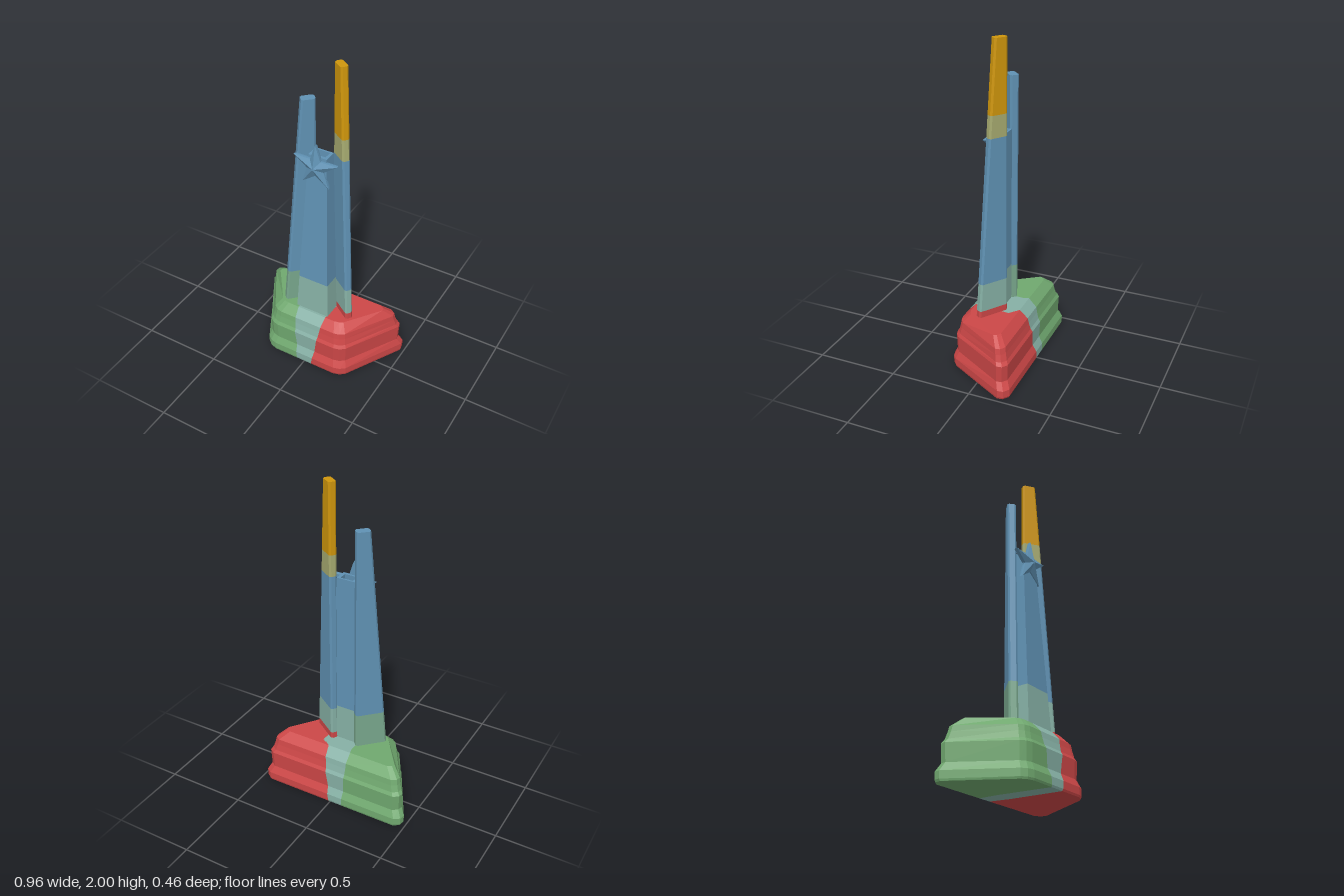
import * as THREE from 'three';

const COLORS = {
  red: 0xcc4747, green: 0x70a86f, teal: 0x86b0a5, moss: 0x78a68c,
  blue: 0x6092b4, olive: 0xa6aa70, gold: 0xcf960c,
};
const materials = {};
function material(name) {
  materials[name] ??= new THREE.MeshStandardMaterial({ color: COLORS[name], flatShading: true });
  return materials[name];
}

// Skin a stack of rings ([x, y, z] points, counter-clockwise seen from the end),
// optionally only along some edges, with optional start and end caps.
function loft(rings, { edges = rings[0].map((_, i) => i), capStart = false, capEnd = false } = {}) {
  const n = rings[0].length, pos = [];
  const tri = (a, b, c) => pos.push(...a, ...b, ...c);
  for (let k = 0; k < rings.length - 1; k++) {
    for (const i of edges) {
      const j = (i + 1) % n, lo = rings[k], hi = rings[k + 1];
      tri(lo[i], lo[j], hi[j]);
      tri(lo[i], hi[j], hi[i]);
    }
  }
  const cap = (ring, flip) => {
    const mid = [0, 1, 2].map(a => ring.reduce((s, p) => s + p[a], 0) / n);
    ring.forEach((p, i) => {
      const q = ring[(i + 1) % n];
      flip ? tri(mid, q, p) : tri(mid, p, q);
    });
  };
  if (capStart) cap(rings[0], true);
  if (capEnd) cap(rings.at(-1), false);
  const geo = new THREE.BufferGeometry();
  geo.setAttribute('position', new THREE.Float32BufferAttribute(pos, 3));
  geo.computeVertexNormals();
  return geo;
}

function add(group, name, color, geo) {
  const mesh = new THREE.Mesh(geo, material(color));
  mesh.name = name;
  group.add(mesh);
}

// Stepped trapezoid plinth, divided into three coloured sections
function makePlinth() {
  const group = new THREE.Group();
  group.name = 'plinth';
  // height and inset of each step
  const steps = [[0, 0.004], [0.012, 0], [0.055, 0], [0.1, 0.022], [0.205, 0.018],
    [0.225, 0.03], [0.265, 0.04], [0.3, 0.046], [0.35, 0.095]];
  const corner = [[0.21, 0.226], [0.25, 0.215], [0.28, 0.19],
    [0.48, -0.17], [0.474, -0.205], [0.44, -0.23]];
  const levels = steps.map(([y, d]) => {
    const t = y / 0.35, sx = 1 - d / 0.42, sz = 1 - d / 0.23;
    const front = 0.226 * sz, back = -0.23 * sz;
    const side = s => corner.map(([x, z]) => [s * x * sx, y, z * sz]);
    // seams between the colours, as front, middle and back points
    const seamR = [[0.05 + 0.05 * t, y, front], [0.03 + 0.09 * t, y, -0.1], [0.01 + 0.05 * t, y, back]];
    const seamL = [[-0.05 - 0.04 * t, y, front], [-0.08, y, -0.1], [-0.08 - 0.01 * t, y, back]];
    return {
      left: [seamR[0], ...side(1), seamR[2], seamR[1]],
      right: [seamL[2], ...side(-1).reverse(), seamL[0], seamL[1]],
      middle: [seamL[0], seamR[0], seamR[1], seamR[2], seamL[2], seamL[1]],
    };
  });
  const outer = [0, 1, 2, 3, 4, 5, 6];
  for (const [key, color, edges] of [['left', 'red', outer], ['right', 'green', outer], ['middle', 'teal', [0, 3]]]) {
    add(group, key + 'PlinthSection', color,
      loft(levels.map(l => l[key]), { edges, capStart: true, capEnd: true }));
  }
  return group;
}

// Upright slab with a vertical inner edge and a sloping outer edge
function makeFin(name, origin, angle, thick, bottomLength, topLength, bands) {
  const group = new THREE.Group();
  group.name = name;
  const base = bands[0][0], top = bands.at(-1)[1];
  const c = Math.cos(angle), s = Math.sin(angle), h = thick / 2, b = 0.01;
  const ring = y => {
    const L = THREE.MathUtils.mapLinear(y, base, top, bottomLength, topLength);
    return [[0, h - b], [b, h], [L - b, h], [L, h - b], [L, b - h], [L - b, -h], [b, -h], [0, b - h]]
      .map(([u, v]) => [origin[0] + u * c - v * s, y, origin[1] + u * s + v * c]);
  };
  bands.forEach(([y0, y1, color], i) =>
    add(group, name + 'Band' + (i + 1), color,
      loft([ring(y0), ring(y1)], { capEnd: i === bands.length - 1 })));
  return group;
}

// Hollow tapering pylon between the fins
function makePylon() {
  const group = new THREE.Group();
  group.name = 'pylon';
  const y0 = 0.34, y1 = 1.44;
  const ring = (y, inset) => {
    const t = (y - y0) / (y1 - y0);
    const w = THREE.MathUtils.lerp(0.108, 0.058, t) - inset;
    const f = THREE.MathUtils.lerp(0.12, 0.05, t) - inset, k = -0.03 + inset * 0.6;
    return [[-w, y, f], [w, y, f], [w, y, k], [-w, y, k]];
  };
  const wall = 0.018;
  add(group, 'pylonFoot', 'teal', loft([ring(y0, 0), ring(0.58, 0)]));
  add(group, 'pylonShaft', 'blue', loft([ring(0.58, 0), ring(y1, 0), ring(y1, wall), ring(0.58, wall)]));
  add(group, 'pylonFootInside', 'teal', loft([ring(0.58, wall), ring(y0, wall)]));
  return group;
}

// Faceted five-pointed star
function makeStar() {
  const ring = (scale, z) => Array.from({ length: 10 }, (_, i) => {
    const a = Math.PI / 2 + i * Math.PI / 5, r = (i % 2 ? 0.056 : 0.144) * scale;
    return [r * Math.cos(a), r * Math.sin(a), z];
  });
  const group = new THREE.Group();
  group.name = 'star';
  add(group, 'starBody', 'blue',
    loft([ring(0.96, -0.016), ring(1, -0.006), ring(1, 0.006), ring(0.1, 0.032)], { capStart: true, capEnd: true }));
  group.position.set(-0.006, 1.378, 0.06);
  return group;
}

export function createModel() {
  const model = new THREE.Group();
  model.name = 'monument';
  model.add(makePlinth(), makePylon(), makeStar());
  model.add(makeFin('leftFin', [0.068, -0.047], 0.6, 0.046, 0.195, 0.08, [
    [0.34, 0.39, 'red'], [0.39, 0.565, 'teal'], [0.565, 1.45, 'blue'],
    [1.45, 1.58, 'olive'], [1.58, 2, 'gold']]));
  model.add(makeFin('rightFin', [-0.07, -0.043], Math.PI * 0.75, 0.052, 0.195, 0.08, [
    [0.34, 0.57, 'moss'], [0.57, 1.75, 'blue']]));
  return model;
}
